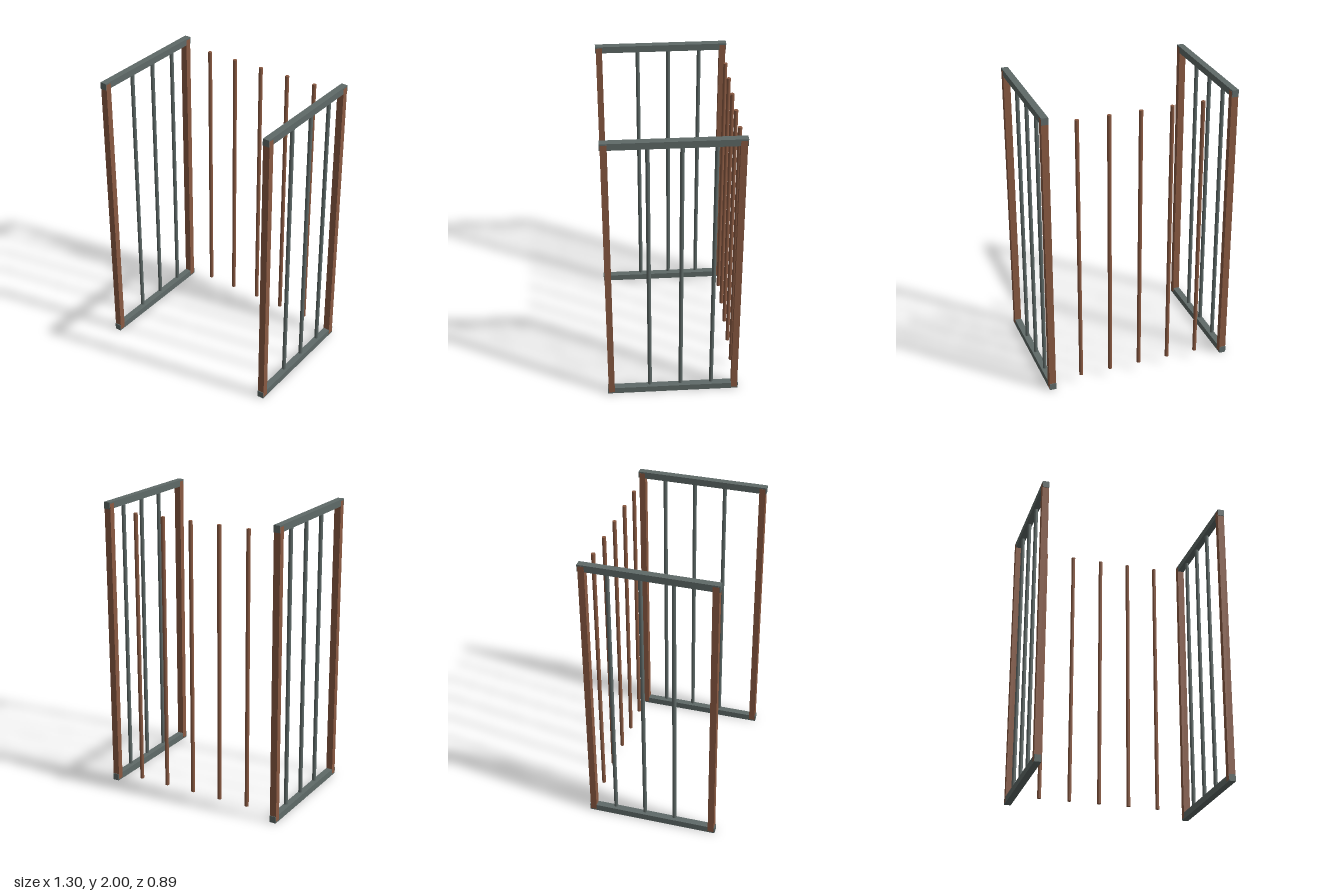
import * as THREE from 'three';

const steel = new THREE.MeshStandardMaterial({ color: 0x5f6a68 });
const copper = new THREE.MeshStandardMaterial({ color: 0x8a5a42 });

function add(parent, name, geometry, material, x, y, z) {
  const mesh = new THREE.Mesh(geometry, material);
  mesh.name = name;
  mesh.position.set(x, y, z);
  parent.add(mesh);
}

export function createModel() {
  const model = new THREE.Group();
  model.name = 'barredEnclosure';

  const railGeo = new THREE.BoxGeometry(0.045, 0.046, 0.894);
  const postGeo = new THREE.BoxGeometry(0.046, 1.98, 0.042);
  const barGeo = new THREE.CylinderGeometry(0.0135, 0.0135, 1.89, 12);

  // Two side frames: rails at top and bottom, posts at the ends, bars between
  for (const side of [-1, 1]) {
    const frame = new THREE.Group();
    frame.name = side > 0 ? 'leftFrame' : 'rightFrame';
    frame.position.x = side * 0.6295;
    add(frame, 'bottomRail', railGeo, steel, 0, 0.023, 0);
    add(frame, 'topRail', railGeo, steel, 0, 1.977, 0);
    add(frame, 'frontPost', postGeo, copper, 0, 1, 0.421);
    add(frame, 'backPost', postGeo, copper, 0, 1, -0.421);
    for (let i = 0; i < 3; i++) {
      add(frame, 'sideBar', barGeo, steel, 0, 1.003, 0.158 - i * 0.21);
    }
    model.add(frame);
  }

  // Free-standing row of bars across the back
  for (let i = -2; i <= 2; i++) {
    add(model, 'backBar', barGeo, copper, i * 0.21, 1.003, -0.422);
  }
  return model;
}
